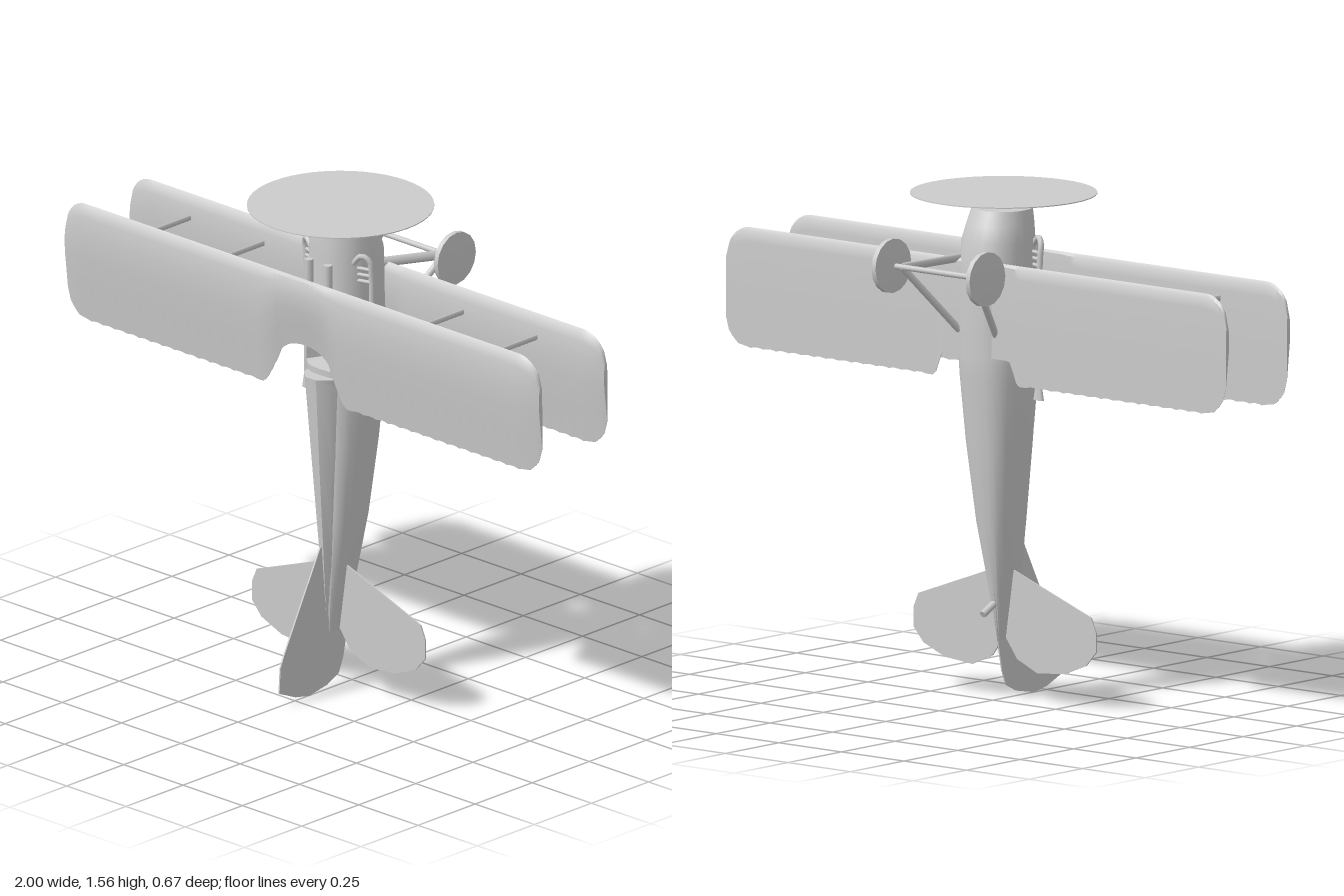
import * as THREE from 'three';
import { toCreasedNormals } from 'three/addons/utils/BufferGeometryUtils.js';

const grey = new THREE.MeshStandardMaterial({ color: 0xcccccc, side: THREE.DoubleSide });
const V = (x, y, z) => new THREE.Vector3(x, y, z);

function add(parent, name, geometry) {
  const mesh = new THREE.Mesh(geometry, grey);
  mesh.name = name;
  parent.add(mesh);
  return mesh;
}

// Skin a list of closed rings (arrays of Vector3), capped at both ends, facing outwards
function loft(rings, crease = 0.6) {
  const n = rings[0].length, pts = rings.flat(), faces = [];
  for (let i = 0; i < rings.length - 1; i++) {
    for (let j = 0; j < n; j++) {
      const a = i * n + j, b = i * n + (j + 1) % n;
      faces.push([a, b, a + n], [b, b + n, a + n]);
    }
  }
  [0, rings.length - 1].forEach((r, end) => {
    const c = pts.length;
    pts.push(rings[r].reduce((s, p) => s.add(p), V(0, 0, 0)).divideScalar(n));
    for (let j = 0; j < n; j++) {
      const a = r * n + j, b = r * n + (j + 1) % n;
      faces.push(end ? [a, b, c] : [b, a, c]);
    }
  });
  let volume = 0;
  for (const [a, b, c] of faces) volume += pts[a].dot(pts[b].clone().cross(pts[c]));
  if (volume < 0) faces.forEach(f => f.reverse());
  const geo = new THREE.BufferGeometry().setFromPoints(pts);
  geo.setIndex(faces.flat());
  return toCreasedNormals(geo, crease);
}

// Straight bar between two points; flat squashes it to a streamlined section
function bar(parent, name, a, b, r, flat = 1) {
  const geo = new THREE.CylinderGeometry(r, r, a.distanceTo(b), 8);
  geo.scale(flat, 1, 1);
  const mesh = add(parent, name, geo);
  mesh.position.copy(a).lerp(b, 0.5);
  mesh.quaternion.setFromUnitVectors(V(0, 1, 0), b.clone().sub(a).normalize());
  return mesh;
}

// Thin plate from an outline
function plate(points, depth = 0.005) {
  const shape = new THREE.Shape(points.map(p => new THREE.Vector2(...p)));
  const geo = new THREE.ExtrudeGeometry(shape, { depth, bevelEnabled: false });
  return geo.translate(0, 0, -depth / 2);
}

// Wing section: [chord fraction from the leading edge, height above the flat underside]
const AIRFOIL = [[0, 0.012], [0.03, 0.022], [0.1, 0.028], [0.25, 0.031], [0.45, 0.027],
  [0.7, 0.015], [1, 0.002], [1, 0], [0.5, 0.001], [0.12, 0.002], [0.03, 0.004]];
const LEAD = 1.365, TIP = 0.09;

function wing(xFrom, xTo, z, trailing) {
  const rings = [], count = Math.round(Math.abs(xTo - xFrom) / 0.0125);
  for (let i = 0; i <= count; i++) {
    const x = xFrom + (xTo - xFrom) * i / count;
    const t = Math.max(0, (Math.abs(x) - (1 - TIP)) / TIP);
    const round = TIP * (1 - Math.sqrt(Math.max(0, 1 - t * t)));
    const scallop = Math.abs(x) > 0.2 ? 0.004 * Math.abs(Math.sin(x * Math.PI / 0.05)) : 0;
    const le = LEAD - round, te = trailing(Math.abs(x)) + round + scallop;
    const thick = 1 - 0.5 * t * t;
    rings.push(AIRFOIL.map(([c, h]) => V(x, le + (te - le) * c, z + h * thick)));
  }
  return loft(rings);
}

export function createModel() {
  const model = new THREE.Group();
  model.name = 'biplane';

  // Fuselage stations: [y, half width, z of top, z of belly, squareness, cockpit dip]
  const stations = [
    [1.515, 0.092, 0.135, -0.05, 2.1, 0], [1.47, 0.1, 0.139, -0.07, 2.1, 0],
    [1.42, 0.105, 0.14, -0.09, 2.2, 0], [1.3, 0.108, 0.14, -0.094, 2.3, 0],
    [1.145, 0.11, 0.14, -0.094, 2.4, 0], [1.14, 0.11, 0.14, -0.094, 2.4, 0.06],
    [1.055, 0.109, 0.142, -0.092, 2.5, 0.06], [1.05, 0.109, 0.142, -0.092, 2.5, 0],
    [1, 0.107, 0.14, -0.088, 2.5, 0], [0.8, 0.088, 0.13, -0.07, 2.7, 0],
    [0.55, 0.059, 0.12, -0.042, 2.8, 0], [0.35, 0.029, 0.114, -0.008, 2.6, 0],
    [0.18, 0.004, 0.108, 0.02, 2.2, 0]];
  const fuselage = stations.map(([y, w, top, belly, n, dip]) =>
    Array.from({ length: 24 }, (_, i) => {
      const a = i / 24 * Math.PI * 2, c = Math.cos(a), s = Math.sin(a);
      const x = w * Math.sign(c) * Math.abs(c) ** (2 / n);
      const z = (top + belly) / 2 + (top - belly) / 2 * Math.sign(s) * Math.abs(s) ** (2 / n);
      return V(x, y, s > 0 && Math.abs(x) < 0.6 * w ? z - dip : z);
    }));
  add(model, 'fuselage', loft(fuselage));

  // Ridged fairing behind the cockpit
  const deck = [[1.03, 0.07, 0.182, 0.11], [1, 0.07, 0.179, 0.1], [0.75, 0.052, 0.16, 0.09],
    [0.45, 0.028, 0.134, 0.08], [0.19, 0.004, 0.112, 0.08]];
  add(model, 'rearDecking', loft(deck.map(([y, w, top, base]) => [
    V(-w, y, base), V(w, y, base), V(w * 0.8, y, base + (top - base) * 0.6),
    V(w * 0.3, y, top), V(-w * 0.3, y, top), V(-w * 0.8, y, base + (top - base) * 0.6)])));

  // Upper wing with a rounded cutout over the cockpit
  const smooth = THREE.MathUtils.smoothstep;
  add(model, 'upperWing', wing(-1, 1, 0.205, x => {
    const dome = x < 0.11 ? 1.08 + 0.065 * Math.sqrt(1 - (x / 0.11) ** 2) : 1.08;
    return x < 0.105 ? dome : 0.983 + 0.117 * (1 - smooth(x, 0.085, 0.18));
  }));

  // Propeller arc and hub
  add(model, 'propellerDisc', new THREE.CylinderGeometry(0.285, 0.285, 0.003, 48)).position.set(0, 1.559, 0.05);
  bar(model, 'propellerShaft', V(0, 1.5, 0.05), V(0, 1.558, 0.05), 0.012);

  for (const side of [1, -1]) {
    const half = new THREE.Group();
    half.name = side > 0 ? 'leftSide' : 'rightSide';
    model.add(half);

    add(half, 'lowerWing', wing(side * 0.06, side, -0.08, x => 0.995 + 0.075 * (1 - smooth(x, 0.13, 0.17))));

    // Struts between the wings and short ones over the fuselage
    for (const y of [1.295, 1.17]) {
      for (const x of [0.42, 0.73]) {
        bar(half, 'wingStrut', V(side * x, y, -0.06), V(side * x, y, 0.215), 0.009, 0.4);
      }
      bar(half, 'centreStrut', V(side * 0.085, y, 0.09), V(side * 0.1, y, 0.215), 0.006);
    }

    // Wheel with coned faces
    const profile = [[0, -0.02], [0.075, -0.008], [0.084, -0.008], [0.084, 0.008], [0.075, 0.008], [0, 0.02]];
    const wheel = new THREE.LatheGeometry(profile.map(p => new THREE.Vector2(...p)), 16);
    wheel.rotateZ(Math.PI / 2);
    add(half, 'wheel', toCreasedNormals(wheel, 0.5)).position.set(side * 0.188, 1.352, -0.255);

    // Landing gear legs
    const foot = V(side * 0.145, 1.352, -0.255);
    bar(half, 'frontGearLeg', foot, V(side * 0.075, 1.365, -0.05), 0.015, 0.5);
    bar(half, 'rearGearLeg', foot, V(side * 0.07, 1.135, -0.065), 0.011);

    // Exhaust pipe with flared outlet
    const path = new THREE.CatmullRomCurve3([[0.085, 1.4, 0.085], [0.115, 1.43, 0.078], [0.136, 1.415, 0.065],
      [0.138, 1.36, 0.058], [0.136, 1.15, 0.057], [0.134, 0.97, 0.057]].map(([x, y, z]) => V(side * x, y, z)));
    add(half, 'exhaustPipe', new THREE.TubeGeometry(path, 40, 0.009, 8));
    const outlet = add(half, 'exhaustOutlet', new THREE.CylinderGeometry(0.009, 0.021, 0.065, 8, 1, true));
    outlet.scale.z = 0.5;
    outlet.position.set(side * 0.134, 0.965, 0.057);
    for (const y of [1.345, 1.365, 1.385]) {
      bar(half, 'exhaustStub', V(side * 0.09, y, 0.075), V(side * 0.138, y, 0.06), 0.006);
    }

    // Gun barrels on the nose
    bar(half, 'gunBarrel', V(side * 0.04, 1.13, 0.148), V(side * 0.04, 1.4, 0.148), 0.014);

    // Tailplane half
    add(half, 'tailplane', plate([[0, 0.39], [0.03, 0.4], [0.345, 0.285], [0.365, 0.24], [0.365, 0.18],
      [0.325, 0.135], [0.24, 0.1], [0.13, 0.09], [0.05, 0.125], [0.01, 0.18], [0, 0.19]]
      .map(([x, y]) => [side * x, y]))).position.z = 0.057;
  }

  bar(model, 'axle', V(-0.19, 1.352, -0.255), V(0.19, 1.352, -0.255), 0.009);

  // Fin and rudder, outlined as [z, y]
  add(model, 'finAndRudder', plate([[0.06, 0.47], [0.14, 0.47], [0.295, 0.17], [0.315, 0.125], [0.32, 0.042],
    [0.25, 0.012], [0.19, 0], [0.11, 0.015], [0.06, 0.04], [0.04, 0.09], [0.02, 0.19]]).rotateY(-Math.PI / 2));

  bar(model, 'tailSkid', V(0, 0.305, 0.02), V(0, 0.27, -0.047), 0.011);
  return model;
}
